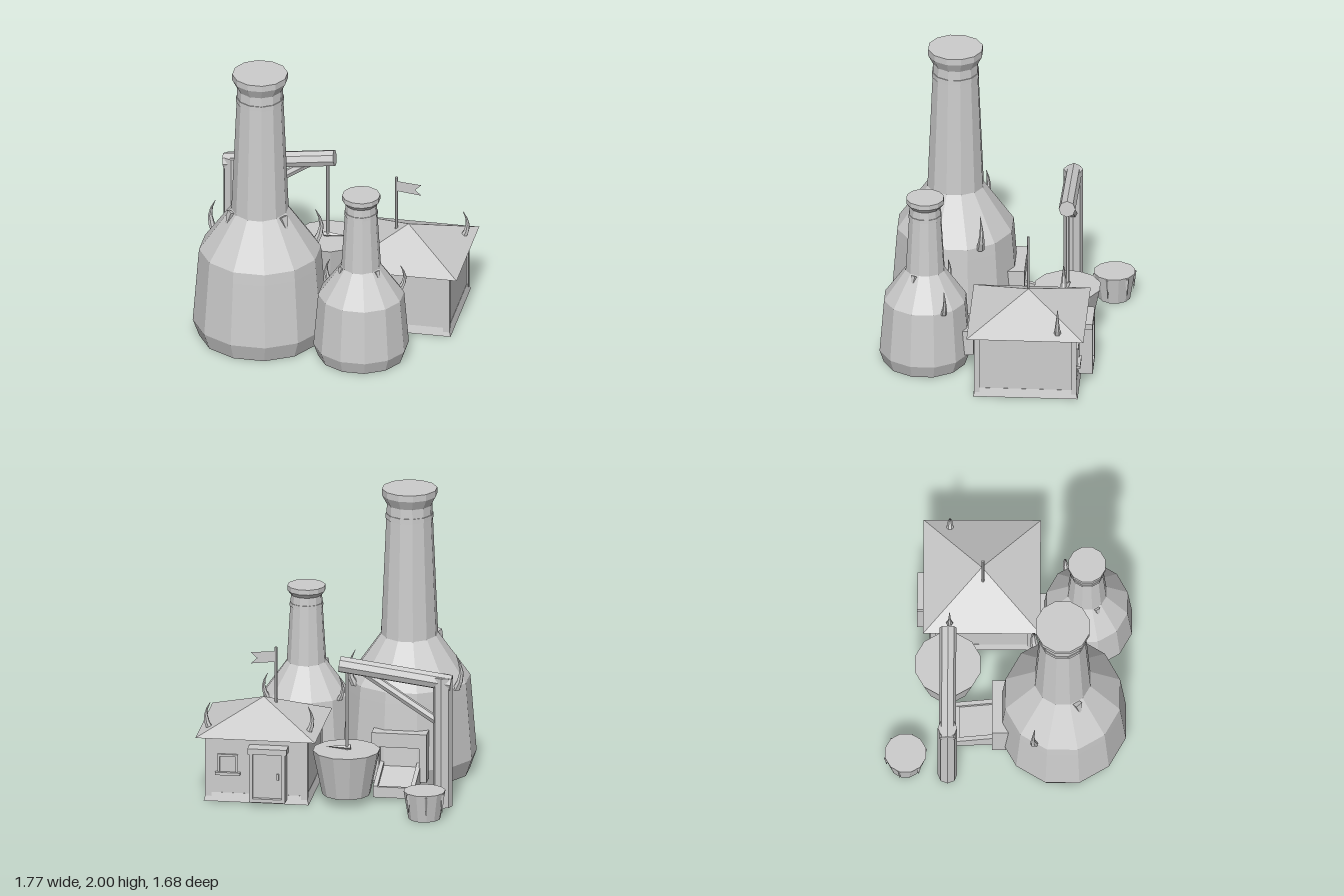
import * as THREE from 'three';

const stone = new THREE.MeshStandardMaterial({ color: 0xcccccc, flatShading: true, side: THREE.DoubleSide });
stone.name = 'plain grey';
const V = (x, y, z) => new THREE.Vector3(x, y, z);

export function createModel() {
  const root = new THREE.Group();
  root.name = 'brewery';

  const add = (name, geometry, x = 0, y = 0, z = 0, parent = root) => {
    const mesh = new THREE.Mesh(geometry, stone);
    mesh.name = name;
    mesh.position.set(x, y, z);
    parent.add(mesh);
    return mesh;
  };
  // Box given by its lower and upper corners
  const box = (name, x0, x1, y0, y1, z0, z1) =>
    add(name, new THREE.BoxGeometry(x1 - x0, y1 - y0, z1 - z0), (x0 + x1) / 2, (y0 + y1) / 2, (z0 + z1) / 2);
  // Straight round beam between two points
  const rod = (name, a, b, r, sides = 8) => {
    const mesh = add(name, new THREE.CylinderGeometry(r, r, a.distanceTo(b), sides));
    mesh.position.copy(a).add(b).multiplyScalar(0.5);
    mesh.quaternion.setFromUnitVectors(V(0, 1, 0), b.clone().sub(a).normalize());
  };
  // Horn that bulges outward and narrows to its tip
  const horn = (name, base, outX, outZ, h, r) => {
    const g = new THREE.CylinderGeometry(0.002, r, h, 6, 4);
    const p = g.attributes.position;
    for (let i = 0; i < p.count; i++) {
      const t = p.getY(i) / h + 0.5;
      const bend = Math.sin(t * Math.PI) * h * 0.16;
      p.setXYZ(i, p.getX(i) + outX * bend, t * h, p.getZ(i) + outZ * bend);
    }
    add(name, g, base.x, base.y, base.z);
  };
  const lathe = (points) =>
    new THREE.LatheGeometry(points.map(([r, y]) => new THREE.Vector2(r, y)), 12, Math.PI / 12);

  // Bottle-shaped towers
  const tower = (name, x, z, body, neck, ring) => {
    const g = new THREE.Group();
    g.name = name;
    g.position.set(x, 0, z);
    root.add(g);
    add('towerBody', lathe(body), 0, 0, 0, g).scale.z = 0.97;
    add('towerNeck', lathe(neck), 0, 0, 0, g);
    add('neckRing', lathe(ring), 0, 0, 0, g);
  };
  tower('tallTower', -0.443, 0.365,
    [[0.415, 0], [0.458, 0.12], [0.422, 0.58], [0.415, 0.66], [0.195, 0.97]],
    [[0.195, 0.96], [0.155, 1.89], [0.189, 1.955], [0.189, 2], [0, 2]],
    [[0.157, 1.79], [0.164, 1.79], [0.163, 1.825], [0.156, 1.825]]);
  tower('shortTower', 0.288, 0.527,
    [[0.293, 0], [0.325, 0.09], [0.298, 0.41], [0.293, 0.47], [0.135, 0.69]],
    [[0.135, 0.68], [0.106, 1.16], [0.13, 1.19], [0.13, 1.225], [0, 1.225]],
    [[0.108, 1.08], [0.115, 1.08], [0.114, 1.105], [0.107, 1.105]]);

  // Horns on the tower shoulders and downward thorns at the neck
  const thorn = (x, y, z, s, h) => {
    const mesh = add('neckThorn', new THREE.CylinderGeometry(h * 0.3, 0.003, h, 4), x, y, z);
    mesh.rotation.set(-0.25, 0, s * 0.35);
  };
  for (const s of [-1, 1]) {
    horn('tallTowerHorn', V(-0.443 + s * 0.345, 0.64, 0.176), s, -0.3, 0.25, 0.03);
    horn('shortTowerHorn', V(0.288 + s * 0.245, 0.46, 0.385), s, -0.3, 0.17, 0.022);
    horn('roofHorn', V(0.475 + s * 0.335, 0.47, -0.405), s, 0, 0.19, 0.026);
    thorn(-0.443 + s * 0.195, 0.91, 0.475, s, 0.12);
    thorn(0.288 + s * 0.133, 0.645, 0.6, s, 0.085);
  }

  // House walls, flared plinth and pyramid roof
  const cx = 0.475, cz = -0.187;
  box('houseWalls', 0.133, 0.817, 0.05, 0.46, -0.525, 0.153);
  const pyramid = (name, w, d, h, top, y) => {
    const g = new THREE.CylinderGeometry(top * Math.SQRT1_2, Math.SQRT1_2, h, 4);
    g.rotateY(Math.PI / 4);
    add(name, g, cx, y + h / 2, cz).scale.set(w, 1, d);
  };
  pyramid('plinth', 0.72, 0.71, 0.06, 0.955, 0);
  pyramid('roof', 0.82, 0.795, 0.19, 0, 0.457);
  for (const x of [0.145, 0.805])
    for (const z of [-0.515, 0.143]) box('cornerPost', x - 0.022, x + 0.022, 0.03, 0.46, z - 0.018, z + 0.018);

  // Back porch: frame, recessed door and handle
  for (const x of [0.265, 0.487]) box('doorJamb', x, x + 0.025, 0.04, 0.41, -0.625, -0.52);
  box('doorLintel', 0.255, 0.522, 0.37, 0.41, -0.625, -0.52);
  box('doorLeaf', 0.29, 0.487, 0.05, 0.37, -0.595, -0.53);
  box('doorStep', 0.265, 0.512, 0.03, 0.055, -0.625, -0.52);
  box('doorHandle', 0.31, 0.325, 0.19, 0.23, -0.61, -0.595);

  // Back window with sill
  box('windowPane', 0.61, 0.73, 0.21, 0.32, -0.53, -0.522);
  for (const x of [0.6, 0.725]) box('windowFrame', x, x + 0.015, 0.2, 0.33, -0.54, -0.52);
  box('windowHead', 0.6, 0.74, 0.32, 0.335, -0.54, -0.52);
  box('windowSill', 0.585, 0.755, 0.19, 0.21, -0.555, -0.52);

  // Flag on the roof
  rod('flagPole', V(0.392, 0.58, -0.18), V(0.392, 1, -0.18), 0.01, 6);
  const flag = new THREE.Shape([[0, 0.97], [0.173, 0.955], [0.13, 0.915], [0.173, 0.875], [0, 0.895]]
    .map(([x, y]) => new THREE.Vector2(x, y)));
  add('flag', new THREE.ShapeGeometry(flag), 0.392, 0, -0.18);

  // Hatch of the short tower facing the house
  box('shortHatch', 0.153, 0.42, 0.1, 0.28, 0.19, 0.3);
  box('shortHatchLip', 0.19, 0.385, 0.1, 0.22, 0.16, 0.2);

  // Hood and sloping chute behind the tall tower
  box('tallHood', -0.63, -0.253, 0.1, 0.4, -0.02, 0.07);
  box('tallHoodFace', -0.63, -0.253, 0.3, 0.4, -0.115, -0.02);
  for (const x of [-0.63, -0.303]) box('tallHoodSide', x, x + 0.05, 0.06, 0.3, -0.115, -0.02);
  const side = new THREE.Shape([[-0.02, 0.05], [0.36, 0.02], [0.36, 0.1], [-0.02, 0.2]]
    .map(([x, y]) => new THREE.Vector2(x, y)));
  const chute = (name, x0, x1) => {
    const g = new THREE.ExtrudeGeometry(side, { depth: x1 - x0, bevelEnabled: false });
    add(name, g, x1, 0, 0).rotation.y = Math.PI / 2;
    g.translate(0, 0, x0 - x1);
  };
  chute('chuteSide', -0.585, -0.555);
  chute('chuteSide', -0.33, -0.3);
  const floor = box('chuteFloor', -0.56, -0.325, 0.105, 0.125, -0.355, 0.02);
  floor.rotation.x = -0.25;
  box('chuteEnd', -0.56, -0.325, 0.02, 0.095, -0.36, -0.335);

  // Crane: post, beam, brace and hanging rod
  const kz = -0.415;
  rod('cranePost', V(-0.785, 0, kz), V(-0.785, 0.92, kz), 0.066);
  rod('craneBeam', V(-0.845, 0.875, kz), V(-0.08, 0.975, kz), 0.057);
  rod('craneBrace', V(-0.78, 0.58, kz), V(-0.23, 0.94, kz), 0.03, 6);
  rod('hangingRod', V(-0.13, 0.37, kz), V(-0.13, 0.95, kz), 0.012, 6);

  // Hanging tub with a stirring paddle, open below
  add('hangingTub', lathe([[0.165, 0.06], [0.23, 0.37], [0, 0.37]]), -0.125, 0, kz);
  const paddle = add('paddle', new THREE.ConeGeometry(0.02, 0.17, 4), -0.07, 0.385, kz);
  paddle.rotation.z = -Math.PI / 2;

  // Small barrel with thorns round its rim
  add('smallBarrel', lathe([[0.11, 0], [0.143, 0.195], [0, 0.195]]), -0.703, 0, -0.7);
  for (let i = 0; i < 6; i++) {
    const a = i * Math.PI / 3 + 0.3;
    const t = add('barrelThorn', new THREE.ConeGeometry(0.018, 0.14, 4),
      -0.703 + Math.cos(a) * 0.132, 0.115, -0.7 + Math.sin(a) * 0.132);
    t.rotation.set(Math.PI, a, 0);
  }
  return root;
}
